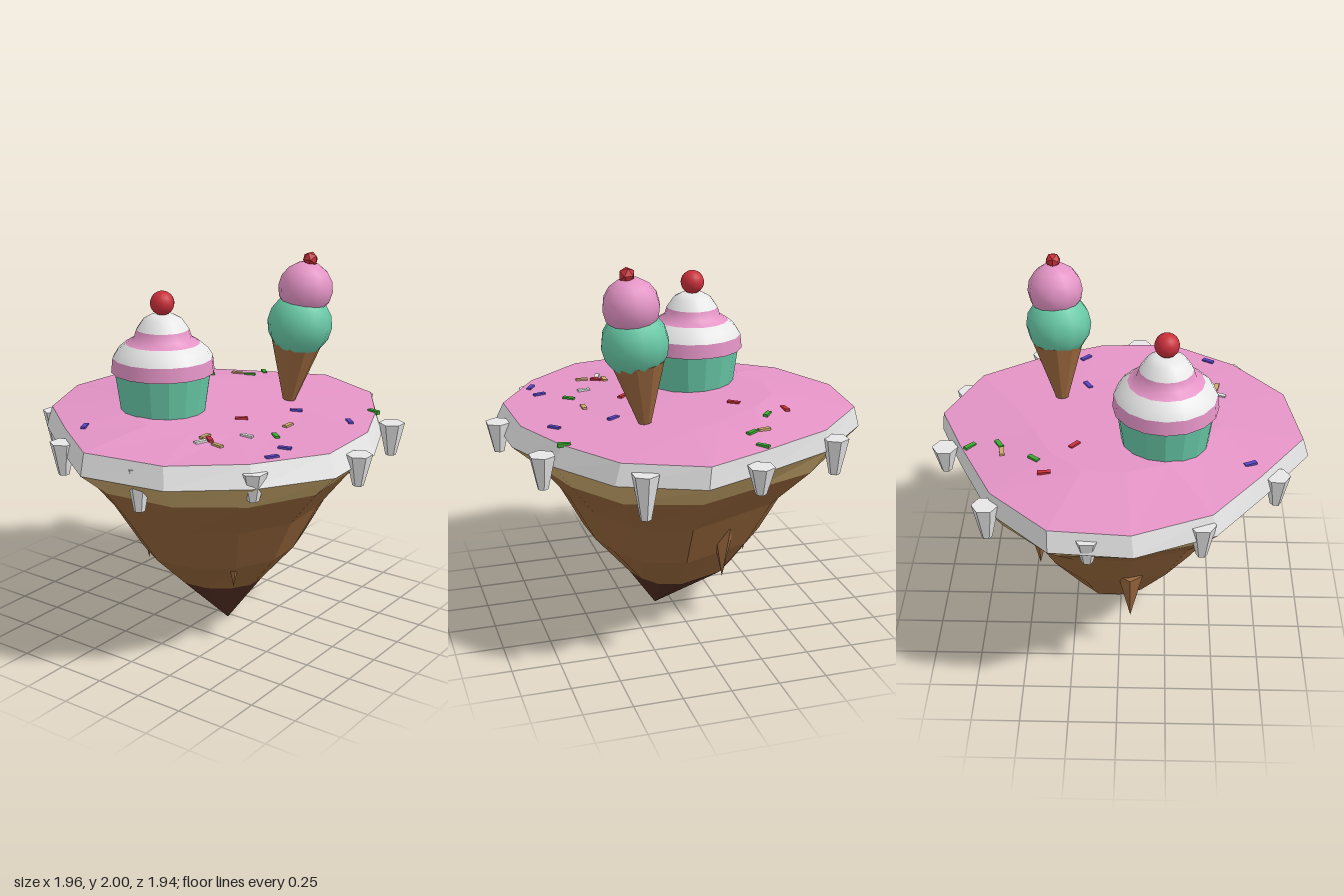
import * as THREE from 'three';

const mat = (name, color) => {
  const m = new THREE.MeshStandardMaterial({ color });
  m.name = name;
  return m;
};

// Faceted copy of a smooth geometry
const flat = (geo) => {
  const g = geo.toNonIndexed();
  g.computeVertexNormals();
  return g;
};

export function createModel() {
  const pink = mat('pink icing', 0xe494c6);
  const white = mat('white cream', 0xe6e6e6);
  const mint = mat('mint', 0x68c9a7);
  const brown = mat('chocolate earth', 0x93643a);
  const tan = mat('biscuit', 0xcba96c);
  const dark = mat('dark chocolate', 0x4f2c21);
  const caramel = mat('caramel', 0x9c693f);
  const red = mat('cherry red', 0xc92f3a);
  const green = mat('sprinkle green', 0x3ca832);
  const purple = mat('sprinkle purple', 0x5a46c6);

  const model = new THREE.Group();
  model.name = 'dessertIsland';
  const add = (name, geo, material, x = 0, y = 0, z = 0, parent = model) => {
    const m = new THREE.Mesh(geo, material);
    m.name = name;
    m.position.set(x, y, z);
    parent.add(m);
    return m;
  };

  // Faceted skin between closed rings, listed from top (or centre) to bottom
  const loft = (rings) => {
    const pos = [];
    const tri = (a, b, c) => {
      if (a.equals(b) || b.equals(c) || a.equals(c)) return;
      for (const p of [a, b, c]) pos.push(p.x, p.y, p.z);
    };
    for (let r = 0; r + 1 < rings.length; r++) {
      const A = rings[r], B = rings[r + 1], n = A.length;
      for (let i = 0; i < n; i++) {
        const j = (i + 1) % n;
        tri(A[i], A[j], B[j]);
        tri(A[i], B[j], B[i]);
      }
    }
    const g = new THREE.BufferGeometry();
    g.setAttribute('position', new THREE.Float32BufferAttribute(pos, 3));
    g.computeVertexNormals();
    return g;
  };

  // Irregular island outline (x, z); bulge widens the diagonals, tilt raises the back
  const outline = [
    [-0.07, -0.93], [0.33, -0.9], [0.63, -0.61], [0.82, -0.21], [0.95, 0.1], [0.78, 0.49], [0.46, 0.7],
    [0.13, 0.84], [-0.27, 0.86], [-0.62, 0.64], [-0.88, 0.33], [-0.95, -0.1], [-0.71, -0.44], [-0.46, -0.76],
  ];
  const ring = (y, sx, sz, ox = 0, oz = 0, bulge = 0, tilt = 0) => outline.map(([x, z]) => {
    const k = 1 + bulge * Math.sin(2 * Math.atan2(z, x)) ** 2;
    return new THREE.Vector3(x * sx * k + ox, y - tilt * z, z * sz * k + oz);
  });

  // Island layers
  const edge = ring(1.17, 1, 1);
  const rimBottom = ring(1.06, 1.025, 1.045, -0.01, 0.01);
  const biscuitBottom = ring(0.93, 0.865, 0.865, 0, 0.01, 0.07);
  const low = ring(0.25, 0.285, 0.31, 0.02, 0, 0.05);
  const icing = add('icingTop', loft([ring(1.21, 0, 0, 0.03, 0), ring(1.205, 0.55, 0.55, 0, 0, 0, 0.03), edge]), pink);
  add('creamRim', loft([edge, rimBottom]), white);
  add('biscuitLayer', loft([rimBottom, biscuitBottom]), tan);
  add('earth', loft([biscuitBottom, ring(0.73, 0.71, 0.66, -0.01, 0.03, 0.05),
    ring(0.47, 0.52, 0.505, 0, 0.025, 0.05), low]), brown);
  add('earthTip', loft([low, ring(0, 0, 0, -0.03, 0.095)]), dark);

  // Cream drips around the rim: x, z, bottom height
  [
    [-0.41, -0.787, 0.95], [-0.797, -0.377, 0.96], [0.14, -0.897, 0.985], [0.65, -0.655, 0.94], [0.912, -0.16, 0.99],
    [0.847, 0.39, 0.9], [0.46, 0.8, 0.955], [-0.09, 0.92, 0.97], [-0.605, 0.65, 0.985], [-0.86, 0.165, 0.905],
  ].forEach(([x, z, y]) => {
    const h = 1.13 - y;
    add('creamDrip', flat(new THREE.CylinderGeometry(0.068, 0.028, h, 6, 1, false, Math.PI / 6)), white, x, y + h / 2, z);
  });

  // Hanging caramel spikes: x, tip height, z
  [[0.442, 0.345, -0.135], [-0.06, 0.235, -0.435], [-0.303, 0.345, 0.325]].forEach(([x, y, z]) => {
    add('hangingSpike', flat(new THREE.ConeGeometry(0.068, 0.29, 5).rotateX(Math.PI)), caramel, x, y + 0.145, z);
  });

  // Cupcake
  const cake = new THREE.Group();
  cake.name = 'cupcake';
  cake.position.set(-0.23, 0, -0.18);
  model.add(cake);
  add('cakeCup', flat(new THREE.CylinderGeometry(0.252, 0.223, 0.21, 16)), mint, 0, 1.31, 0, cake);
  add('frostingBase', new THREE.CircleGeometry(0.27, 16).rotateX(Math.PI / 2), pink, 0, 1.41, 0, cake);
  [
    [pink, [[0.27, 1.41], [0.262, 1.485]]],
    [white, [[0.262, 1.485], [0.237, 1.525], [0.195, 1.56]]],
    [pink, [[0.195, 1.56], [0.152, 1.585], [0.137, 1.63]]],
    [white, [[0.137, 1.63], [0.1, 1.683], [0.06, 1.705], [0, 1.71]]],
  ].forEach(([m, pts]) => add('frostingSwirl',
    new THREE.LatheGeometry(pts.map((p) => new THREE.Vector2(...p)), 16), m, 0, 0, 0, cake));
  add('cakeCherry', new THREE.SphereGeometry(0.063, 16, 12), red, 0, 1.765, 0, cake);

  // Leaning ice cream cone
  const cone = new THREE.Group();
  cone.name = 'iceCream';
  model.add(cone);
  const wafer = add('wafer', flat(new THREE.CylinderGeometry(0.137, 0.034, 0.33, 10)), caramel, 0.33, 1.36, 0.262, cone);
  const lean = new THREE.Vector3(0.03, 0.74, 0.08).normalize();
  wafer.quaternion.setFromUnitVectors(new THREE.Vector3(0, 1, 0), lean);
  const scoop = (name, r, m, x, y, z) => {
    add(name, new THREE.SphereGeometry(r, 12, 8), m, x, y, z, cone).quaternion.copy(wafer.quaternion);
  };
  scoop('mintScoop', 0.172, mint, 0.335, 1.615, 0.295);
  scoop('pinkScoop', 0.144, pink, 0.35, 1.804, 0.317);
  add('scoopCherry', new THREE.IcosahedronGeometry(0.042, 0), red, 0.358, 1.96, 0.338, cone);

  // Sprinkles pressed into the icing: material, x, z, turn in degrees
  const ray = new THREE.Raycaster();
  const down = new THREE.Vector3(0, -1, 0);
  [
    [red, 0.37, -0.49, 5], [green, 0.43, -0.37, -40], [red, 0.23, -0.26, 50], [tan, 0.6, -0.29, -80],
    [green, 0.62, -0.22, -60], [green, 0.77, -0.22, 45], [purple, -0.66, -0.35, 25], [white, -0.53, 0.285, -20],
    [tan, -0.46, 0.26, 0], [red, -0.475, 0.3, 50], [tan, -0.515, 0.375, 80], [red, -0.12, 0.24, -50],
    [white, -0.315, 0.41, -85], [green, -0.215, 0.515, 50], [tan, -0.04, 0.475, 0], [purple, -0.48, 0.67, -30],
    [purple, -0.34, 0.65, -75], [purple, 0.215, 0.685, 45], [green, 0.46, 0.69, 80], [purple, 0.19, 0.375, -60],
  ].forEach(([m, x, z, turn]) => {
    ray.set(new THREE.Vector3(x, 2, z), down);
    const { y } = ray.intersectObject(icing)[0].point;
    const s = add('sprinkle', new THREE.BoxGeometry(0.065, 0.02, 0.024), m, x, y, z);
    s.rotation.y = THREE.MathUtils.degToRad(turn);
  });

  return model;
}
